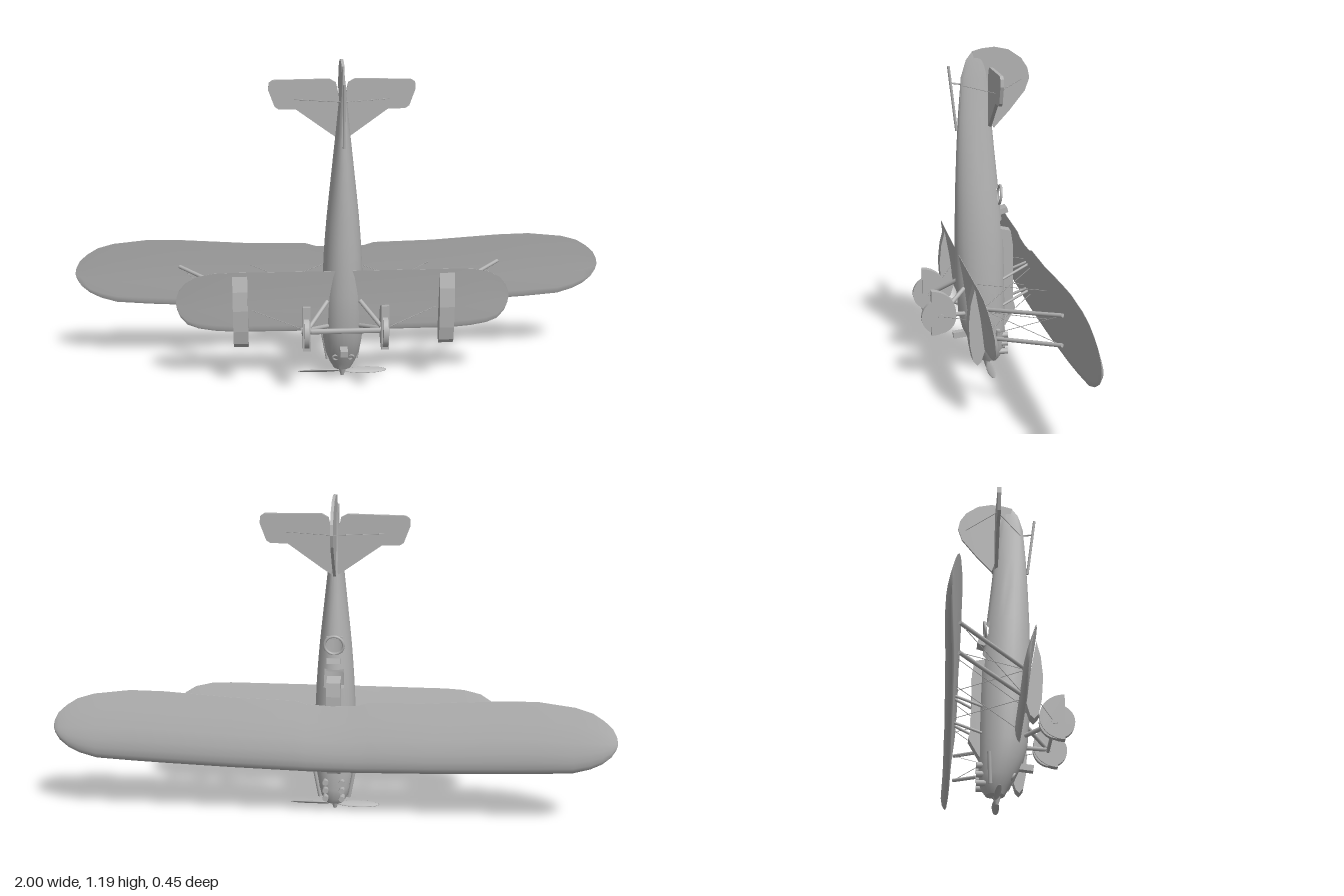
import * as THREE from 'three';
import { toCreasedNormals } from 'three/addons/utils/BufferGeometryUtils.js';

const grey = new THREE.MeshStandardMaterial({ color: 0xb2b2b2, side: THREE.DoubleSide });
grey.name = 'plain grey';
const V = (x, y, z) => new THREE.Vector3(x, y, z);

// Skin a series of closed rings; skip(i, j) leaves a panel open.
function loft(rings, crease = 0.7, skip = () => false) {
  const n = rings[0].length, pos = [], index = [];
  rings.forEach(r => r.forEach(p => pos.push(p.x, p.y, p.z)));
  for (let i = 0; i < rings.length - 1; i++) {
    for (let j = 0; j < n; j++) {
      if (skip(i, j)) continue;
      const a = i * n + j, b = i * n + (j + 1) % n;
      index.push(a, b, b + n, a, b + n, a + n);
    }
  }
  const g = new THREE.BufferGeometry();
  g.setAttribute('position', new THREE.Float32BufferAttribute(pos, 3));
  g.setIndex(index);
  return toCreasedNormals(g, crease);
}

// Flat plate outlined in (x, y), centred on its thickness.
function plate(points, depth, smooth = false) {
  const pts = points.map(p => new THREE.Vector2(p[0], p[1]));
  const outline = smooth ? new THREE.SplineCurve([...pts, pts[0]]).getPoints(48).slice(0, -1) : pts;
  const g = new THREE.ExtrudeGeometry(new THREE.Shape(outline), { depth, bevelEnabled: false });
  return g.translate(0, 0, -depth / 2);
}
// Plate outlined in (z, y), standing in the side plane.
const sidePlate = (points, depth, smooth) => plate(points, depth, smooth).rotateY(-Math.PI / 2);

// Wing from [x, leading y, trailing y] stations on one half.
function wing(half, zLead, slope, yLead, rise, camber) {
  const span = half[half.length - 1][0];
  const all = [...half.slice(1).reverse().map(s => [-s[0], s[1], s[2]]), ...half];
  const upper = [[0, 0], [0.03, 0.35], [0.1, 0.7], [0.2, 0.93], [0.33, 1], [0.5, 0.85], [0.75, 0.45], [1, 0.03]];
  const lower = [[1, -0.03], [0.7, 0.02], [0.35, -0.03], [0.1, -0.13], [0.03, -0.12]];
  return loft(all.map(([x, y0, y1]) => [...upper, ...lower].map(([t, h]) => {
    const y = y0 + (y1 - y0) * t, u = Math.abs(x) / span;
    return V(x, y, zLead + slope * (y - yLead) - rise * u ** 4 - h * camber * (y1 - y0));
  })), 0.8);
}

export function createModel() {
  const model = new THREE.Group();
  model.name = 'biplane';
  const add = (name, geometry, x = 0, y = 0, z = 0) => {
    const m = new THREE.Mesh(geometry, grey);
    m.name = name;
    m.position.set(x, y, z);
    model.add(m);
    return m;
  };
  const rod = (name, a, b, r, flat = 1) => {
    const d = b.clone().sub(a);
    const m = add(name, new THREE.CylinderGeometry(r, r, d.length(), r < 0.003 ? 4 : 10));
    m.position.copy(a).add(b).multiplyScalar(0.5);
    m.quaternion.setFromUnitVectors(V(0, 1, 0), d.normalize());
    m.scale.z = flat;
    return m;
  };

  // Fuselage: [y, back z, belly z, half width], with two open cockpits
  const body = [
    [0.03, -0.05, -0.022, 0.015], [0.035, -0.075, -0.008, 0.033], [0.06, -0.092, 0.005, 0.048],
    [0.1, -0.098, 0.03, 0.062], [0.16, -0.1, 0.057, 0.072], [0.22, -0.1, 0.072, 0.076],
    [0.35, -0.099, 0.082, 0.076], [0.5, -0.095, 0.085, 0.069], [0.57, -0.088, 0.084, 0.064],
    [0.63, -0.081, 0.083, 0.059], [0.69, -0.075, 0.082, 0.053], [0.83, -0.06, 0.077, 0.038],
    [0.95, -0.048, 0.071, 0.025], [1.09, -0.036, 0.06, 0.011], [1.15, -0.028, 0.042, 0.006],
    [1.18, -0.01, 0.02, 0.002]];
  add('fuselage', loft(body.map(([y, zb, zf, w]) => Array.from({ length: 24 }, (_, j) => {
    const a = j / 24 * Math.PI * 2, c = Math.cos(a), s = Math.sin(a);
    return V(w * Math.sign(s) * Math.abs(s) ** 0.9, y, (zb + zf) / 2 + (zf - zb) / 2 * c);
  })), 0.7, (i, j) => (i === 7 || i === 9) && j >= 10 && j < 14));
  add('topFairing', sidePlate([[-0.07, 0.15], [-0.1, 0.17], [-0.137, 0.235], [-0.128, 0.27],
    [-0.126, 0.48], [-0.118, 0.53], [-0.07, 0.54]], 0.05));
  for (const y of [0.56, 0.68]) add('seat', new THREE.BoxGeometry(0.06, 0.012, 0.06), 0, y, -0.03);
  add('windshield', new THREE.BoxGeometry(0.05, 0.02, 0.03), 0, 0.605, -0.092).rotation.x = 0.3;
  const ring = add('gunRing', new THREE.TorusGeometry(0.034, 0.005, 8, 24), 0, 0.66, -0.08);
  ring.rotation.x = -0.1;

  // Engine, intake and propeller
  add('spinner', new THREE.CylinderGeometry(0.018, 0.006, 0.04, 16), 0, 0.022, -0.036);
  add('intake', new THREE.BoxGeometry(0.028, 0.022, 0.06), 0, 0.137, 0.062).rotation.x = 0.12;
  for (const s of [-1, 1]) {
    const blade = add('propellerBlade', new THREE.SphereGeometry(1, 20, 10), s * 0.087, 0.02, -0.036);
    blade.scale.set(0.08, 0.004, 0.015);
    blade.rotation.x = s * 0.6;
    add('airInlet', new THREE.TorusGeometry(0.012, 0.004, 8, 16), s * 0.027, 0.095, 0.02).rotation.x = 0.5;
    for (let k = 0; k < 3; k++) {
      const head = add('cylinderHead', new THREE.CylinderGeometry(0.011, 0.011, 0.04, 12),
        s * 0.03, 0.07 + k * 0.032, -0.088);
      head.rotation.x = Math.PI / 2;
    }
    rod('exhaustPipe', V(s * 0.054, 0.06, -0.06), V(s * 0.073, 0.17, -0.065), 0.007);
  }

  // Wings
  add('upperWing', wing([[0, 0.222, 0.465], [0.09, 0.222, 0.47], [0.13, 0.223, 0.482], [0.35, 0.228, 0.487],
    [0.6, 0.237, 0.503], [0.72, 0.243, 0.505], [0.85, 0.252, 0.49], [0.91, 0.27, 0.472], [0.95, 0.291, 0.447],
    [0.98, 0.318, 0.42], [0.995, 0.345, 0.392], [1, 0.365, 0.37]], -0.2, 0.1, 0.225, 0.02, 0.11));
  add('lowerWing', wing([[0, 0.21, 0.45], [0.4, 0.212, 0.45], [0.47, 0.217, 0.447], [0.53, 0.227, 0.434],
    [0.57, 0.243, 0.41], [0.595, 0.275, 0.38], [0.605, 0.305, 0.352], [0.608, 0.325, 0.332]],
    0.04, 0.15, 0.215, 0.014, 0.1));

  // Tail surfaces
  add('fin', sidePlate([[0.02, 1.18], [-0.015, 1.19], [-0.06, 1.195], [-0.11, 1.185], [-0.155, 1.155],
    [-0.178, 1.12], [-0.185, 1.085], [-0.17, 1.04], [-0.115, 0.97], [-0.058, 0.907], [-0.02, 1.0]], 0.01, false));
  const tail = [[0.012, 1.07], [0.022, 1.115], [0.045, 1.128], [0.245, 1.125], [0.26, 1.115], [0.262, 1.09],
    [0.24, 1.03], [0.225, 1.02], [0.165, 1.02], [0.04, 0.93], [0.01, 0.91]];
  for (const s of [-1, 1]) {
    const half = tail.map(([x, y]) => [x * s, y]);
    add('tailplane', plate(half, 0.012), 0, 0, -0.041);
    rod('tailWire', V(s * 0.18, 1.06, -0.041), V(0, 1.08, -0.16), 0.0012);
    rod('tailStrut', V(s * 0.18, 1.055, -0.041), V(s * 0.01, 1.06, 0.05), 0.0015);
  }
  rod('tailSkid', V(0, 1.13, 0.104), V(0, 0.9, 0.076), 0.005);
  rod('skidBrace', V(0, 1.07, 0.095), V(0, 1.065, 0.055), 0.003);

  // Paired struts, wires and landing gear
  for (const s of [-1, 1]) {
    const P = (x, y, z) => V(s * x, y, z);
    for (const [y0, y1] of [[0.25, 0.295], [0.35, 0.397]]) {
      rod('wingStrut', P(0.36, y0, 0.045), P(0.605, y1, -0.18), 0.007);
      rod('centreStrut', P(0.035, y0, -0.085), P(0.015, y1, -0.185), 0.005);
      rod('landingWire', P(0.36, y0, 0.04), P(0.06, y1, -0.185), 0.0012);
      rod('flyingWire', P(0.07, y0, 0.04), P(0.34, y1, -0.185), 0.0012);
    }
    rod('strutWire', P(0.36, 0.25, 0.045), P(0.605, 0.397, -0.18), 0.0012);
    rod('strutWire', P(0.36, 0.35, 0.045), P(0.605, 0.295, -0.18), 0.0012);
    rod('gearWire', P(0.14, 0.255, 0.155), P(0.34, 0.3, 0.05), 0.0012);
    for (const y of [0.235, 0.33]) rod('gearStrut', P(0.135, 0.257, 0.155), P(0.06, y, 0.06), 0.008);
    const wheel = add('wheel', new THREE.CylinderGeometry(0.062, 0.062, 0.018, 32), s * 0.14, 0.255, 0.163);
    wheel.rotation.z = Math.PI / 2;
    add('wheelHub', new THREE.CylinderGeometry(0.012, 0.012, 0.034, 16), s * 0.14, 0.255, 0.155).rotation.z = Math.PI / 2;
    // Half-round wheel cover, cut flat on the ground side
    const arc = Array.from({ length: 25 }, (_, k) => {
      const a = Math.PI / 2 + k / 24 * Math.PI;
      return [0.19 + 0.088 * Math.cos(a), 0.271 + 0.082 * Math.sin(a)];
    });
    add('wheelCover', sidePlate(arc, 0.028), s * 0.14);
    // Streamlined fairing under the lower wing
    add('underwingFairing', sidePlate([[0.074, 0.435], [0.088, 0.38], [0.095, 0.31], [0.09, 0.23], [0.08, 0.18],
      [0.065, 0.163], [0.052, 0.175], [0.04, 0.215], [0.055, 0.33]], 0.054), s * 0.375);
  }
  rod('axle', V(-0.14, 0.25, 0.155), V(0.14, 0.25, 0.155), 0.01, 0.6);
  return model;
}
